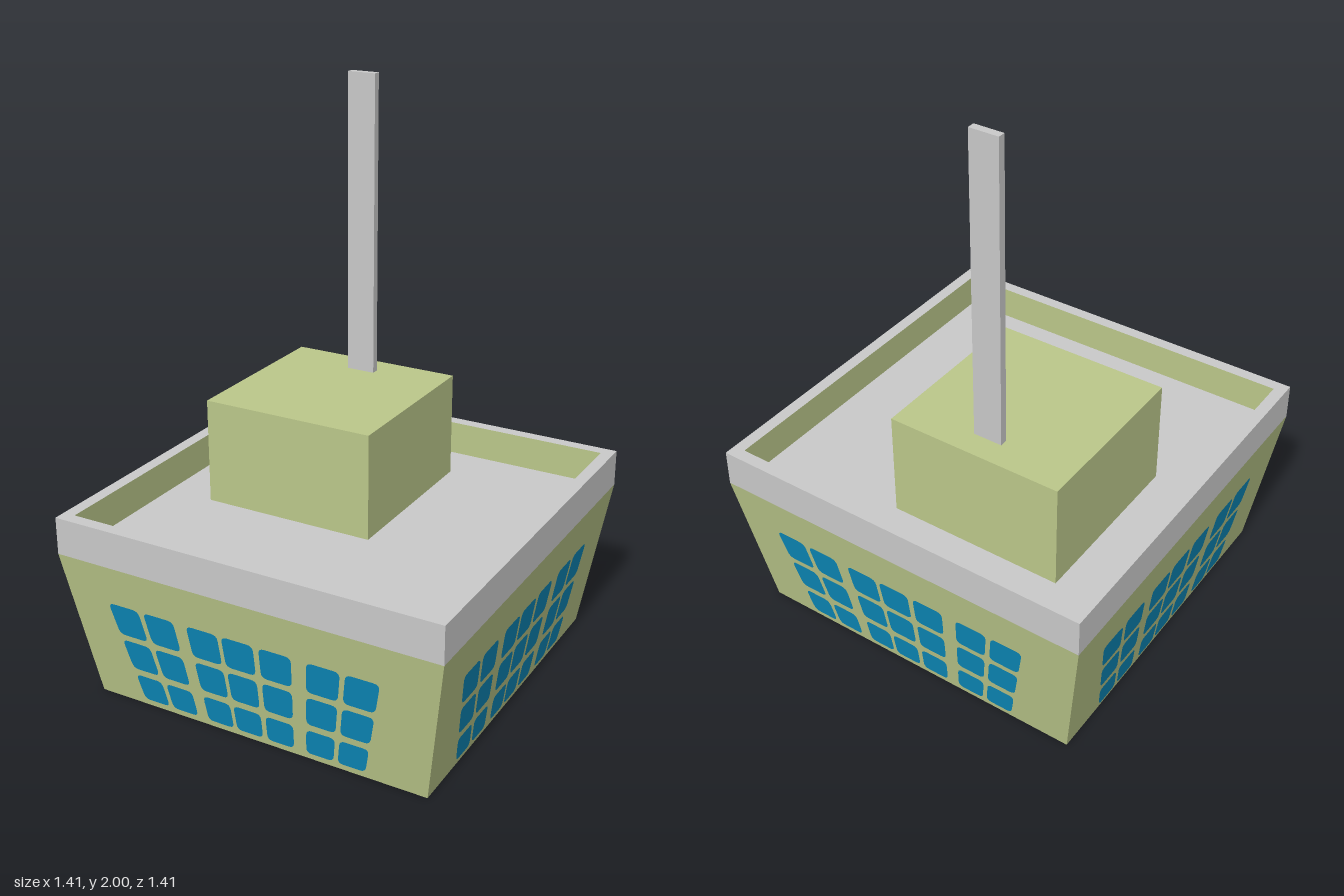
import * as THREE from 'three';

export function createModel() {
  const model = new THREE.Group();
  const mat = (name, color) => {
    const m = new THREE.MeshStandardMaterial({ color });
    m.name = name;
    return m;
  };
  const olive = mat('olive wall', 0xbbc78a);
  const gray = mat('light gray', 0xc9c9c9);
  const blue = mat('window blue', 0x0c8abb);
  const dark = mat('dark base', 0x2a1c1a);

  const add = (name, geometry, material, parent = model) => {
    const mesh = new THREE.Mesh(geometry, material);
    mesh.name = name;
    parent.add(mesh);
    return mesh;
  };

  // Four open walls between two square sections; inward flips the faces
  const walls = (bottom, top, y0, y1, inward = false) => {
    const g = new THREE.CylinderGeometry(top * Math.SQRT2, bottom * Math.SQRT2, y1 - y0, 4, 1, true);
    g.rotateY(Math.PI / 4);
    g.translate(0, (y0 + y1) / 2, 0);
    if (inward) g.scale(-1, 1, 1);
    const flat = g.toNonIndexed();
    flat.computeVertexNormals();
    return flat;
  };
  const box = (x0, x1, y0, y1, z0, z1) =>
    new THREE.BoxGeometry(x1 - x0, y1 - y0, z1 - z0)
      .translate((x0 + x1) / 2, (y0 + y1) / 2, (z0 + z1) / 2);

  const BASE = 0.622, EDGE = 0.706, INNER = 0.662;
  const BAND = 0.54, RIM = 0.672, ROOF = 0.55;

  // Tapered building and its base
  add('taperedWalls', walls(BASE, EDGE, 0, BAND), olive);
  add('base', new THREE.PlaneGeometry(BASE * 2, BASE * 2).rotateX(Math.PI / 2), dark);

  // Parapet: outer band, top rim, inner walls and sunken roof
  add('parapetBand', walls(EDGE, EDGE, BAND, RIM), gray);
  const square = (h) => [[-h, -h], [h, -h], [h, h], [-h, h]].map(([x, y]) => new THREE.Vector2(x, y));
  const rim = new THREE.Shape(square(EDGE));
  rim.holes.push(new THREE.Path(square(INNER)));
  add('parapetRim', new THREE.ShapeGeometry(rim).rotateX(-Math.PI / 2).translate(0, RIM, 0), gray);
  add('parapetInside', walls(INNER, INNER, ROOF, RIM, true), olive);
  add('roof', new THREE.PlaneGeometry(INNER * 2, INNER * 2).rotateX(-Math.PI / 2).translate(0, ROOF, 0), gray);

  // Rooftop block and mast
  add('roofBlock', box(-0.488, 0.146, ROOF, 0.928, -0.497, 0.136), olive);
  add('mast', box(-0.222, -0.118, 0.928, 2, -0.41, -0.383), gray);

  // Rounded window pane laid on the sloping wall, narrowing downwards
  const pane = (cx, y0, y1) => {
    const w = 0.058, r = 0.022, s = new THREE.Shape();
    const a = cx - w, b = cx + w;
    s.moveTo(a + r, y0);
    s.lineTo(b - r, y0).quadraticCurveTo(b, y0, b, y0 + r);
    s.lineTo(b, y1 - r).quadraticCurveTo(b, y1, b - r, y1);
    s.lineTo(a + r, y1).quadraticCurveTo(a, y1, a, y1 - r);
    s.lineTo(a, y0 + r).quadraticCurveTo(a, y0, a + r, y0);
    const g = new THREE.ShapeGeometry(s, 4);
    const p = g.attributes.position;
    for (let i = 0; i < p.count; i++) {
      const y = p.getY(i);
      p.setX(i, p.getX(i) * (1 + 0.45 * (y - 0.34)));
      p.setZ(i, BASE + (EDGE - BASE) * y / BAND + 0.004);
    }
    g.computeVertexNormals();
    return g;
  };

  // The same window grid on each of the four sides
  const columns = [-0.452, -0.317, -0.152, -0.021, 0.115, 0.284, 0.418];
  const rows = [[0.025, 0.122], [0.147, 0.258], [0.28, 0.398]];
  ['front', 'left', 'back', 'right'].forEach((side, k) => {
    const group = new THREE.Group();
    group.name = side + 'Windows';
    group.rotation.y = k * Math.PI / 2;
    for (const [y0, y1] of rows)
      for (const x of columns) add('window', pane(x, y0, y1), blue, group);
    model.add(group);
  });

  return model;
}
